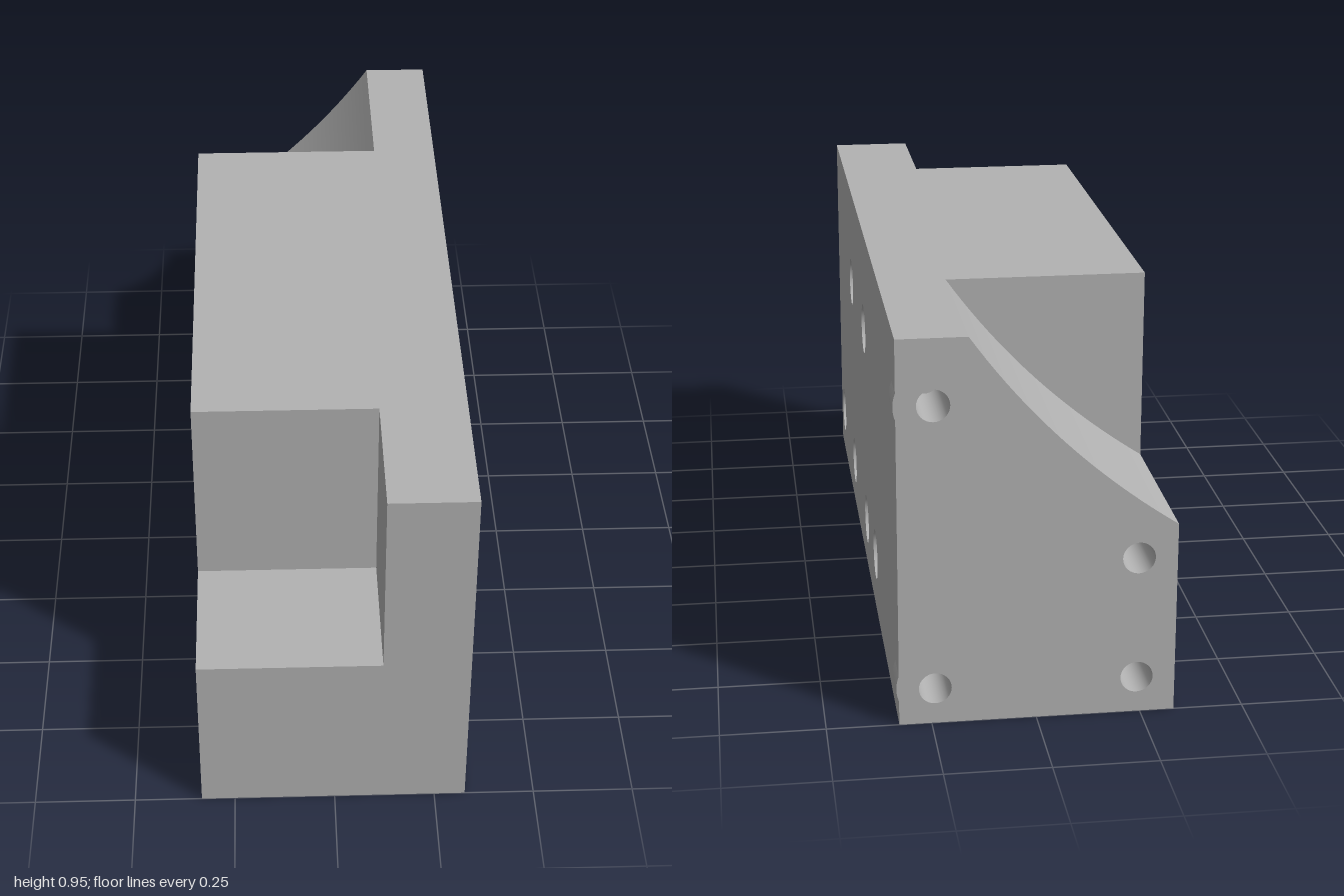
import * as THREE from 'three';
import { mergeGeometries } from 'three/addons/utils/BufferGeometryUtils.js';

// Block extents, front notch corner and rear notch corner
const X0 = -0.333, X1 = 0.327, H = 0.955;
const XF = 0.115, YF = 0.45, ZF = 0.65;
const XB = 0.16, YB = 0.478, ZB = -0.535;

const BOLT_R = 0.033, BORE_R = 0.066, BORE_DEPTH = 0.065;
const TAP_R = 0.039, TAP_DEPTH = 0.2, TAP_X = 0.241;
const PIN_R = 0.046, PIN_DEPTH = 0.22;
const SEG = 32;

const boltHoles = [[0.43, 0.68], [-0.03, 0.68], [0.885, 0.13], [0.43, 0.13], [-0.03, 0.13], [-0.33, 0.152]];
const tapHoles = [[TAP_X, 0.795], [TAP_X, 0.09], [-TAP_X, 0.397], [-TAP_X, 0.09]];
const pinHole = [0, 0.773];

// Concave profile of the rear scoop
const scoop = new THREE.QuadraticBezierCurve(
  new THREE.Vector2(X0, YB), new THREE.Vector2(-0.04, 0.669), new THREE.Vector2(XB, H));
const scoopPoints = scoop.getPoints(20).map(p => [p.x, p.y]);

const rect = (a, b, c, d) => [[a, b], [c, b], [c, d], [a, d]];

// Turn a geometry inside out
function flip(g) {
  const i = g.index.array;
  for (let k = 0; k < i.length; k += 3) [i[k], i[k + 1]] = [i[k + 1], i[k]];
  const n = g.attributes.normal.array;
  for (let k = 0; k < n.length; k++) n[k] = -n[k];
  return g;
}

// Flat face on a plane; outline is (z,y) for x planes, (x,z) for y planes, (x,y) for z planes
function face(axis, at, outline, flipped = false, holes = [], r = 0) {
  const shape = new THREE.Shape(outline.map(p => new THREE.Vector2(...p)));
  for (const [u, v] of holes) {
    shape.holes.push(new THREE.Path().absarc(u, v, r, 0, Math.PI * 2, true));
  }
  const g = new THREE.ShapeGeometry(shape, SEG / 2);
  if (axis === 'x') g.rotateY(-Math.PI / 2).translate(at, 0, 0);
  if (axis === 'y') g.rotateX(Math.PI / 2).translate(0, at, 0);
  if (axis === 'z') g.translate(0, 0, at);
  return flipped ? flip(g) : g;
}

// Inward-facing wall of a round hole, running from a to b along an axis
function holeWall(axis, [u, v], r, a, b) {
  const g = flip(new THREE.CylinderGeometry(r, r, b - a, SEG, 1, true));
  const m = (a + b) / 2;
  if (axis === 'x') g.rotateZ(Math.PI / 2).translate(m, v, u);
  if (axis === 'y') g.translate(u, m, v);
  if (axis === 'z') g.rotateX(Math.PI / 2).translate(u, v, m);
  return g;
}

export function createModel() {
  const model = new THREE.Group();
  model.name = 'mountingBlock';
  const metal = new THREE.MeshStandardMaterial({ color: 0xb2b2b2 });
  metal.name = 'plain grey';
  const add = (name, parts) => {
    const mesh = new THREE.Mesh(mergeGeometries(parts), metal);
    mesh.name = name;
    model.add(mesh);
  };

  // Outer sides
  add('rightSide', [face('x', X1, rect(-1, 0, 1, H), true, boltHoles, BORE_R)]);
  add('leftSide', [face('x', X0, [[1, 0], [1, YF], [ZF, YF], [ZF, H], [ZB, H], [ZB, YB], [-1, YB], [-1, 0]],
    false, boltHoles, BOLT_R)]);
  add('frontSide', [face('z', 1, [[X0, 0], [X1, 0], [X1, H], [XF, H], [XF, YF], [X0, YF]])]);
  add('backSide', [face('z', -1, [[X0, 0], ...scoopPoints, [X1, H], [X1, 0]], true, tapHoles, TAP_R)]);
  add('underside', [face('y', 0, rect(X0, -1, X1, 1), false, [pinHole], PIN_R)]);
  add('topSide', [face('y', H, [[XB, -1], [X1, -1], [X1, 1], [XF, 1], [XF, ZF], [X0, ZF], [X0, ZB], [XB, ZB]], true)]);

  // Square notch at the front
  add('frontNotch', [
    face('y', YF, rect(X0, ZF, XF, 1), true),
    face('z', ZF, rect(X0, YF, XF, H)),
    face('x', XF, rect(ZF, YF, 1, H)),
  ]);

  // Curved scoop at the back and the wall behind it
  const curved = new THREE.PlaneGeometry(1, 1, 20, 1);
  const pos = curved.attributes.position;
  for (let i = 0; i < pos.count; i++) {
    const p = scoop.getPoint(pos.getX(i) + 0.5);
    pos.setXYZ(i, p.x, p.y, pos.getY(i) > 0 ? -1 : ZB);
  }
  curved.computeVertexNormals();
  add('rearScoop', [curved]);
  add('rearNotchWall', [face('z', ZB, [...scoopPoints, [X0, H]], true)]);

  // Counterbored bolt holes through the width
  const floorX = X1 - BORE_DEPTH;
  for (const h of boltHoles) {
    add('boltHole', [
      holeWall('x', h, BORE_R, floorX, X1),
      holeWall('x', h, BOLT_R, X0, floorX),
      new THREE.RingGeometry(BOLT_R, BORE_R, SEG).rotateY(Math.PI / 2).translate(floorX, h[1], h[0]),
    ]);
  }

  // Blind holes in the back
  for (const h of tapHoles) {
    add('rearHole', [
      holeWall('z', h, TAP_R, -1, -1 + TAP_DEPTH),
      new THREE.CircleGeometry(TAP_R, SEG).rotateY(Math.PI).translate(h[0], h[1], -1 + TAP_DEPTH),
    ]);
  }

  // Blind hole in the underside
  add('bottomHole', [
    holeWall('y', pinHole, PIN_R, 0, PIN_DEPTH),
    new THREE.CircleGeometry(PIN_R, SEG).rotateX(Math.PI / 2).translate(pinHole[0], PIN_DEPTH, pinHole[1]),
  ]);

  // Slight rounded bulges on the right side beside the rear holes
  const bulgeR = 0.092, half = Math.acos((X1 - TAP_X) / bulgeR);
  for (const y of [0.795, 0.093]) {
    const segment = new THREE.Shape().absarc(TAP_X, y, bulgeR, -half, half, false);
    add('sideBulge', [new THREE.ExtrudeGeometry(segment, { depth: 0.09, bevelEnabled: false, curveSegments: 10 })
      .translate(0, 0, -1)]);
  }
  return model;
}
